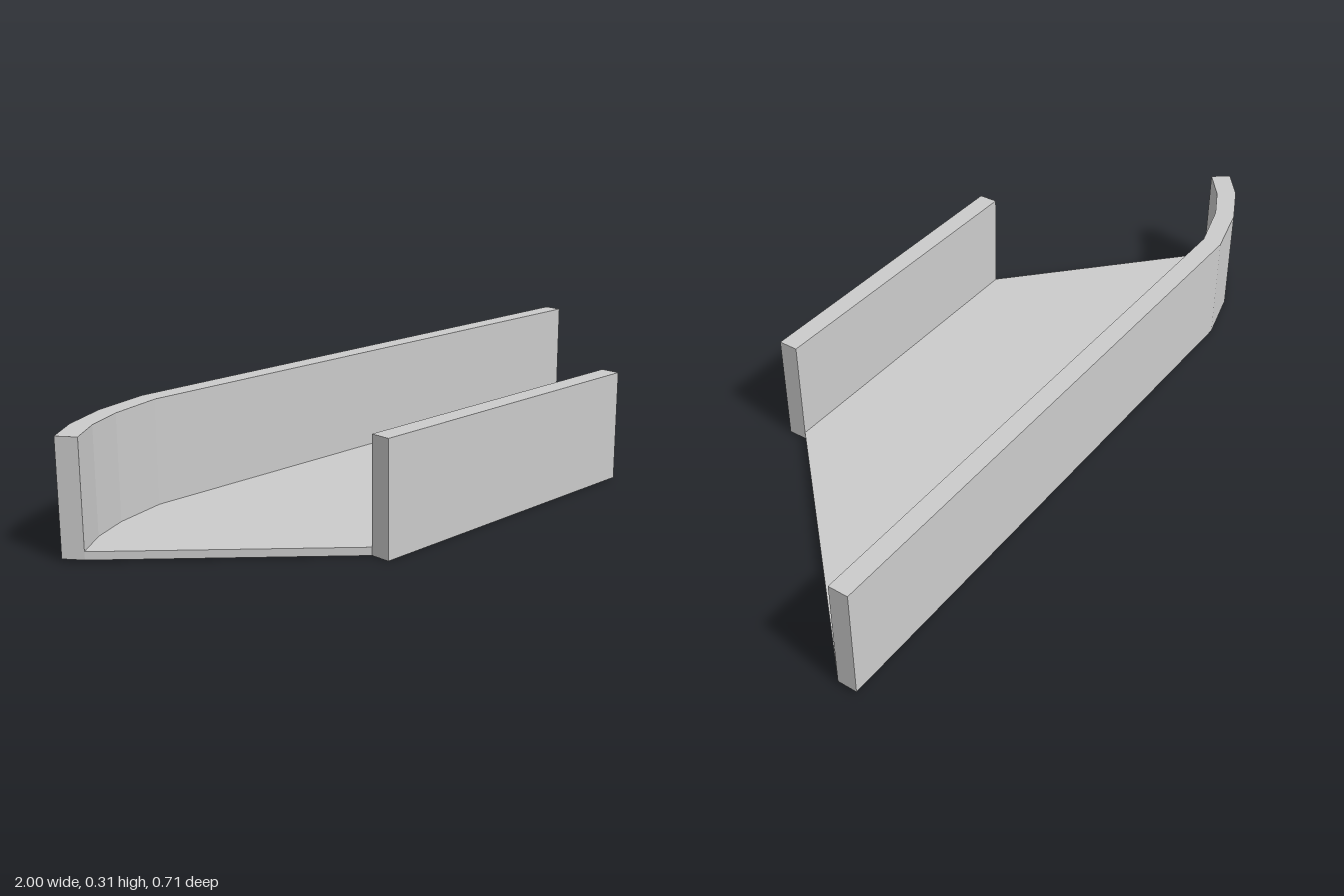
import * as THREE from 'three';

const material = new THREE.MeshStandardMaterial({ color: 0xcccccc, flatShading: true });

// Upright slab from a plan outline of [x, z] points, standing on y = 0
function slab(name, outline, height) {
  const shape = new THREE.Shape(outline.map(([x, z]) => new THREE.Vector2(x, z)));
  const geometry = new THREE.ExtrudeGeometry(shape, { depth: height, bevelEnabled: false });
  geometry.rotateX(Math.PI / 2).translate(0, height, 0);
  const mesh = new THREE.Mesh(geometry, material);
  mesh.name = name;
  return mesh;
}

export function createModel() {
  const group = new THREE.Group();
  group.name = 'channel';

  const wallHeight = 0.298, floorThickness = 0.021;
  const frontOuter = 0.354, frontInner = 0.301;
  const frontLeft = 0.41, frontRight = -0.48;

  // Inner and outer faces of the back wall, curving forward at one end
  const inner = [[1, -0.304], [-0.64, -0.304], [-0.785, -0.265], [-0.885, -0.217], [-0.967, -0.155]];
  const outer = [[1, -0.357], [-0.64, -0.357], [-0.797, -0.318], [-0.917, -0.262], [-1, -0.2]];

  group.add(
    slab('backWall', [...inner, ...outer.slice().reverse()], wallHeight),
    slab('frontWall', [
      [frontRight, frontInner], [frontLeft, frontInner],
      [frontLeft, frontOuter], [frontRight, frontOuter],
    ], wallHeight),
    slab('floor', [...inner, [frontRight, frontInner], [frontLeft, frontInner]], floorThickness),
  );

  // The whole piece leans very slightly, raising its back edge
  const tilt = 0.0105;
  group.rotation.x = tilt;
  group.position.y = frontOuter * Math.sin(tilt);
  return group;
}
